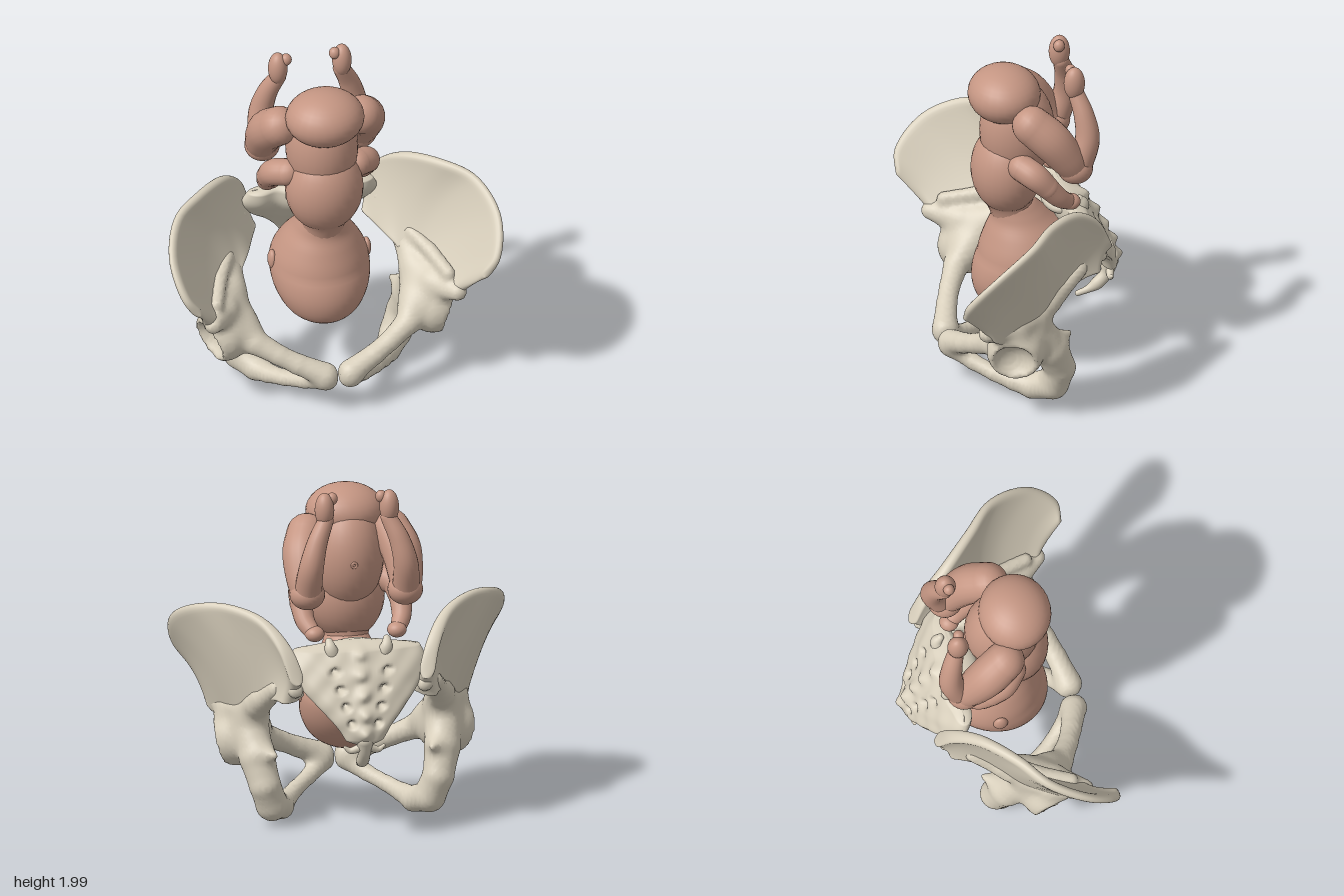
import * as THREE from 'three';
import { mergeVertices } from 'three/addons/utils/BufferGeometryUtils.js';

const V = (x, y, z) => new THREE.Vector3(x, y, z);

// Swap the winding of every triangle
function flip(geo) {
  const a = geo.index.array;
  for (let i = 0; i < a.length; i += 3) [a[i], a[i + 1]] = [a[i + 1], a[i]];
  return geo;
}

// Indexed closed surface, turned to face outwards by its signed volume
function solid(pos, idx) {
  let geo = new THREE.BufferGeometry();
  geo.setAttribute('position', new THREE.Float32BufferAttribute(pos, 3));
  geo.setIndex(idx);
  geo = mergeVertices(geo);
  const p = geo.attributes.position, a = geo.index.array;
  const at = (i) => V().fromBufferAttribute(p, a[i]);
  let volume = 0;
  for (let i = 0; i < a.length; i += 3) volume += at(i).dot(at(i + 1).cross(at(i + 2)));
  if (volume < 0) flip(geo);
  geo.computeVertexNormals();
  return geo;
}

// Smooth closed surface from a function of (u, v), v running round the section
function grid(nu, nv, fn) {
  const pos = [], idx = [];
  for (let i = 0; i <= nu; i++) {
    for (let j = 0; j <= nv; j++) {
      pos.push(...fn(i / nu, j / nv).toArray());
      if (i === nu || j === nv) continue;
      const a = i * (nv + 1) + j, d = a + nv + 1;
      idx.push(a, a + 1, d + 1, a, d + 1, d);
    }
  }
  return solid(pos, idx);
}

// Round tube with hemispherical ends through [x, y, z, radius] points
function limb(pts, steps = 24, sides = 20) {
  const curve = new THREE.CatmullRomCurve3(pts.map((p) => V(p[0], p[1], p[2])));
  const radii = new THREE.CatmullRomCurve3(pts.map((p, i) => V(p[3], i * 0.1, 0)));
  const frames = curve.computeFrenetFrames(steps, false);
  const rings = [], cap = 6;
  const ring = (k, angle, sign) => {
    const r = radii.getPoint(curve.getUtoTmapping(k / steps)).x;
    const c = curve.getPointAt(k / steps).addScaledVector(frames.tangents[k], sign * r * Math.cos(angle));
    rings.push([c, r * Math.sin(angle), frames.normals[k], frames.binormals[k]]);
  };
  for (let i = 0; i < cap; i++) ring(0, (i / cap) * Math.PI / 2, -1);
  for (let k = 0; k <= steps; k++) ring(k, Math.PI / 2, 0);
  for (let i = cap - 1; i >= 0; i--) ring(steps, (i / cap) * Math.PI / 2, 1);
  const n = rings.length - 1;
  return grid(n, sides, (u, v) => {
    const [c, r, N, B] = rings[Math.round(u * n)], a = v * Math.PI * 2;
    return c.clone().addScaledVector(N, r * Math.cos(a)).addScaledVector(B, r * Math.sin(a));
  });
}

const ball = (x, y, z, rx, ry = rx, rz = rx) =>
  new THREE.SphereGeometry(1, 28, 18).scale(rx, ry, rz).translate(x, y, z);

// Skin over a distance field: one point per crossed cell, one quad per crossed edge
function fieldSurface(min, max, h, field) {
  const n = min.map((m, i) => Math.ceil((max[i] - m) / h) + 1);
  const step = [1, n[0], n[0] * n[1]], total = step[2] * n[2];
  const value = new Float32Array(total), cell = new Int32Array(total), pos = [], idx = [];
  const coords = (g) => [g % n[0], Math.floor(g / n[0]) % n[1], Math.floor(g / step[2])];
  for (let g = 0; g < total; g++) value[g] = field(...coords(g).map((c, i) => min[i] + c * h));
  for (let g = 0; g < total; g++) {
    const c = coords(g), sum = [0, 0, 0];
    if (c.some((q, i) => q >= n[i] - 1)) continue;
    let hits = 0;
    for (let k = 0; k < 8; k++) {
      const off = [k & 1, (k >> 1) & 1, k >> 2], p = g + off[0] + off[1] * step[1] + off[2] * step[2];
      for (let e = 0; e < 3; e++) {
        if (off[e] || value[p] < 0 === value[p + step[e]] < 0) continue;
        for (let i = 0; i < 3; i++) sum[i] += off[i];
        sum[e] += value[p] / (value[p] - value[p + step[e]]);
        hits++;
      }
    }
    if (!hits) continue;
    cell[g] = pos.length / 3;
    pos.push(...sum.map((s, i) => min[i] + (c[i] + s / hits) * h));
  }
  for (let g = 0; g < total; g++) {
    const c = coords(g);
    if (c.some((q, i) => q < 1 || q >= n[i] - 1)) continue;
    for (let e = 0; e < 3; e++) {
      if (value[g] < 0 === value[g + step[e]] < 0) continue;
      const s = step[(e + 1) % 3], t = step[(e + 2) % 3];
      const [a, b, d, f] = [g, g - s, g - s - t, g - t].map((q) => cell[q]);
      if (value[g] < 0) idx.push(a, b, d, a, d, f);
      else idx.push(a, d, b, a, f, d);
    }
  }
  return solid(pos, idx);
}

// Lower hip bone: chains of [x, y, z, radius] blended together, with a scooped hip socket
function hipBody() {
  const chains = [
    [[0.45, 0.85, -0.22, 0.05], [0.52, 0.71, -0.03, 0.07], [0.53, 0.58, 0.13, 0.088], [0.44, 0.43, 0.28, 0.07],
      [0.32, 0.365, 0.345, 0.057], [0.22, 0.315, 0.385, 0.058], [0.075, 0.25, 0.43, 0.07]],
    [[0.705, 0.65, 0.365, 0.052], [0.62, 0.62, 0.2, 0.1], [0.55, 0.66, 0.05, 0.085], [0.52, 0.75, -0.06, 0.05]],
    [[0.55, 0.56, 0.06, 0.1], [0.53, 0.4, -0.04, 0.1], [0.495, 0.25, -0.1, 0.088], [0.45, 0.125, -0.07, 0.09],
      [0.38, 0.083, 0.03, 0.073], [0.33, 0.095, 0.12, 0.054], [0.26, 0.12, 0.22, 0.045],
      [0.17, 0.155, 0.32, 0.045], [0.07, 0.215, 0.42, 0.06]],
    [[0.5, 0.43, -0.08, 0.06], [0.45, 0.44, -0.16, 0.02]],
    [[0.67, 0.74, 0.3, 0.035], [0.61, 0.78, 0.12, 0.04], [0.53, 0.83, -0.03, 0.035]],
    [[0.605, 0.46, 0.18, 0.163], [0.58, 0.47, 0.17, 0.16]],
    [[0.41, 0.93, -0.26, 0.045], [0.37, 0.88, -0.36, 0.045]],
  ];
  const segment = (x, y, z, a, b) => {
    const ab = [b[0] - a[0], b[1] - a[1], b[2] - a[2]], p = [x - a[0], y - a[1], z - a[2]];
    const dot = (q) => q[0] * ab[0] + q[1] * ab[1] + q[2] * ab[2];
    const t = Math.min(1, Math.max(0, dot(p) / dot(ab)));
    return Math.hypot(...p.map((q, i) => q - t * ab[i])) - a[3] - t * (b[3] - a[3]);
  };
  const blend = (a, b, k) => Math.min(a, b) - Math.max(0, k - Math.abs(a - b)) ** 2 / (4 * k);
  return fieldSurface([-0.03, -0.03, -0.46], [0.82, 1.02, 0.55], 0.017, (x, y, z) => {
    let d = 1;
    for (const c of chains) {
      let near = 1;
      for (let i = 1; i < c.length; i++) near = blend(near, segment(x, y, z, c[i - 1], c[i]), 0.012);
      d = blend(d, near, 0.05);
    }
    const scoop = Math.hypot(x - 0.735, y - 0.42, z - 0.225) - 0.128;
    return Math.max(-blend(-d, scoop, 0.02), 0.006 - x);
  });
}

// Iliac wing: a curved sheet through base, middle and crest lines, with varying thickness
function wing() {
  const line = (pts) => new THREE.CatmullRomCurve3(pts.map((p) => V(...p)));
  const base = line([[0.705, 0.63, 0.36], [0.65, 0.57, 0.28], [0.6, 0.55, 0.2], [0.56, 0.57, 0.1],
    [0.51, 0.65, 0], [0.46, 0.74, -0.09], [0.41, 0.79, -0.22], [0.36, 0.81, -0.34]]);
  const mid = line([[0.755, 0.72, 0.43], [0.785, 0.82, 0.33], [0.74, 0.9, 0.15], [0.67, 0.95, 0.03],
    [0.56, 0.98, -0.08], [0.48, 0.98, -0.17], [0.415, 0.96, -0.27], [0.365, 0.88, -0.38]]);
  const crest = line([[0.82, 0.84, 0.535], [0.905, 0.95, 0.525], [0.95, 1.13, 0.37], [0.87, 1.26, 0.15],
    [0.71, 1.3, 0], [0.53, 1.26, -0.19], [0.425, 1.13, -0.34], [0.36, 0.93, -0.43]]);
  const sheet = (u, v) => base.getPoint(u).multiplyScalar((1 - v) * (1 - 2 * v))
    .addScaledVector(mid.getPoint(u), 4 * v * (1 - v))
    .addScaledVector(crest.getPoint(u), v * (2 * v - 1));
  const round = (t, w) => {
    const d = Math.min(1, Math.min(t, 1 - t) / w);
    return Math.sqrt(Math.max(0, 1 - (1 - d) ** 2));
  };
  return grid(60, 60, (k, s) => {
    const u = (1 - Math.cos(k * Math.PI)) / 2, a = s * Math.PI * 2, v = (1 - Math.cos(a)) / 2;
    const e = 0.005, u0 = Math.max(0, u - e), u1 = Math.min(1, u + e);
    const du = sheet(u1, v).sub(sheet(u0, v));
    const dv = sheet(u, Math.min(1, v + e)).sub(sheet(u, Math.max(0, v - e)));
    const half = (0.014 + 0.05 * (1 - v) ** 2 + 0.014 * v ** 4 + 0.022 * u ** 3)
      * round(v, 0.06) * round(u, 0.05);
    return sheet(u, v).addScaledVector(du.cross(dv).normalize(), Math.sign(Math.sin(a)) * half);
  });
}

// Sacrum: tapering curved loft with a rear ridge and four pairs of dented openings
function sacrumShape() {
  const rows = [[1.125, -0.23, 0.34, 0.08], [1, -0.28, 0.39, 0.115], [0.88, -0.355, 0.33, 0.1],
    [0.77, -0.43, 0.23, 0.078], [0.68, -0.48, 0.15, 0.058], [0.58, -0.5, 0.09, 0.04]];
  const centre = new THREE.CatmullRomCurve3(rows.map((r) => V(0, r[0], r[1])));
  const size = new THREE.CatmullRomCurve3(rows.map((r) => V(r[2], r[3], r[0])));
  return grid(64, 112, (u, v) => {
    const a = v * Math.PI * 2, c = centre.getPoint(u), s = size.getPoint(u);
    const end = Math.sqrt(Math.min(1, u / 0.06, (1 - u) / 0.06));
    const x = s.x * Math.cos(a) * end;
    let z = s.y * Math.sin(a) * end;
    if (z < 0) {
      z -= 0.03 * Math.exp(-((x / 0.035) ** 2)) * (0.7 + 0.5 * Math.sin(c.y * 60)) * end;
      z -= 0.005 * Math.sin(x * 40) * Math.sin(c.y * 40) * end;
      for (let i = 0; i < 4; i++) {
        const y = 0.98 - i * 0.09, hx = 0.15 - i * 0.025;
        z += 0.07 * end * Math.exp(-(((Math.abs(x) - hx) ** 2 + (c.y - y) ** 2) / 0.0003));
      }
    } else {
      z -= 0.05 * Math.exp(-(((Math.abs(x) - 0.2) / 0.07) ** 2)) * end * (1 - u);
    }
    return V(x, c.y, c.z + z);
  });
}

// Head: egg-shaped, sloping at the face and leaning towards the neck
function headShape() {
  const outline = new THREE.SplineCurve([[0, 0.4], [0.1, 0.422], [0.2, 0.487], [0.262, 0.59], [0.283, 0.7], [0.268, 0.8],
    [0.22, 0.9], [0.165, 0.98], [0.135, 1.04], [0.1, 1.1], [0, 1.11]].map((p) => new THREE.Vector2(...p)));
  return grid(40, 44, (u, v) => {
    const { x, y } = outline.getPoint(u), a = v * Math.PI * 2, r = Math.max(0, x);
    const lean = y > 0.75 ? 0.9 * (y - 0.75) ** 2 : 0.33 * (0.75 - y);
    return V(r * Math.cos(a), y, r * 1.05 * Math.sin(a) - 0.04 + lean);
  });
}

export function createModel() {
  const model = new THREE.Group();
  const bone = new THREE.MeshStandardMaterial({ color: 0xd8cfbc });
  const skin = new THREE.MeshStandardMaterial({ color: 0xc59683 });
  bone.name = 'bone';
  skin.name = 'skin';
  const pelvis = new THREE.Group(), baby = new THREE.Group();
  pelvis.name = 'pelvis';
  baby.name = 'baby';
  model.add(pelvis, baby);
  const add = (group, name, geo) => {
    const mesh = new THREE.Mesh(geo, group === pelvis ? bone : skin);
    mesh.name = name;
    group.add(mesh);
  };
  const pair = (group, name, geo) => {
    add(group, name + 'Left', geo);
    add(group, name + 'Right', flip(geo.clone().scale(-1, 1, 1)));
  };

  // Hip bones
  pair(pelvis, 'iliacWing', wing());
  pair(pelvis, 'hipBody', hipBody());

  // Sacrum and tailbone
  add(pelvis, 'sacrum', sacrumShape());
  add(pelvis, 'sacralBody', ball(0, 1.06, -0.21, 0.16, 0.06, 0.1));
  pair(pelvis, 'articularProcess', limb([[0.14, 1.04, -0.3, 0.045], [0.16, 1.1, -0.31, 0.035], [0.165, 1.135, -0.29, 0.022]], 12));
  add(pelvis, 'tailbone', limb([[0, 0.61, -0.505, 0.05], [0, 0.53, -0.485, 0.036], [0, 0.47, -0.43, 0.036],
    [0, 0.44, -0.38, 0.022], [0, 0.42, -0.32, 0.016]]));
  pair(pelvis, 'tailboneHorn', limb([[0.02, 0.57, -0.5, 0.025], [0.08, 0.55, -0.49, 0.018], [0.11, 0.57, -0.49, 0.01]], 12));

  // Head
  add(baby, 'head', headShape());
  pair(baby, 'ear', ball(0.272, 0.765, -0.03, 0.026, 0.06, 0.042));
  add(baby, 'lips', limb([[-0.05, 0.65, -0.29, 0.009], [0, 0.657, -0.302, 0.012], [0.05, 0.65, -0.29, 0.009]], 16, 12));

  // Trunk
  add(baby, 'neck', limb([[0, 0.99, 0.05, 0.12], [0, 1.08, 0.07, 0.13], [0, 1.17, 0.09, 0.16]]));
  add(baby, 'chest', ball(0, 1.295, 0.09, 0.222, 0.265, 0.203));
  add(baby, 'belly', ball(0, 1.54, 0.03, 0.205, 0.31, 0.213));
  add(baby, 'bottom', ball(0, 1.78, 0.105, 0.224, 0.157, 0.205));
  add(baby, 'navel', new THREE.TorusGeometry(0.014, 0.007, 10, 20).translate(0, 1.54, -0.182));

  // Legs
  pair(baby, 'thigh', limb([[0.24, 1.69, 0, 0.112], [0.28, 1.6, -0.1, 0.115], [0.29, 1.48, -0.19, 0.1], [0.285, 1.42, -0.23, 0.09]]));
  pair(baby, 'knee', ball(0.28, 1.405, -0.24, 0.1, 0.088, 0.1));
  pair(baby, 'shin', limb([[0.28, 1.42, -0.26, 0.078], [0.27, 1.58, -0.312, 0.07], [0.235, 1.72, -0.3, 0.058], [0.18, 1.84, -0.265, 0.045]]));
  pair(baby, 'foot', ball(0.185, 1.9, -0.257, 0.055, 0.1, 0.06));
  pair(baby, 'toe', ball(0.14, 1.96, -0.245, 0.032, 0.036, 0.032));

  // Arms
  pair(baby, 'upperArm', limb([[0.2, 1.4, 0.05, 0.078], [0.265, 1.37, -0.01, 0.077], [0.285, 1.3, -0.08, 0.065]]));
  pair(baby, 'forearm', limb([[0.285, 1.3, -0.08, 0.064], [0.275, 1.22, -0.15, 0.055], [0.245, 1.17, -0.21, 0.045]]));
  pair(baby, 'hand', ball(0.235, 1.165, -0.225, 0.055, 0.045, 0.055));

  return model;
}
